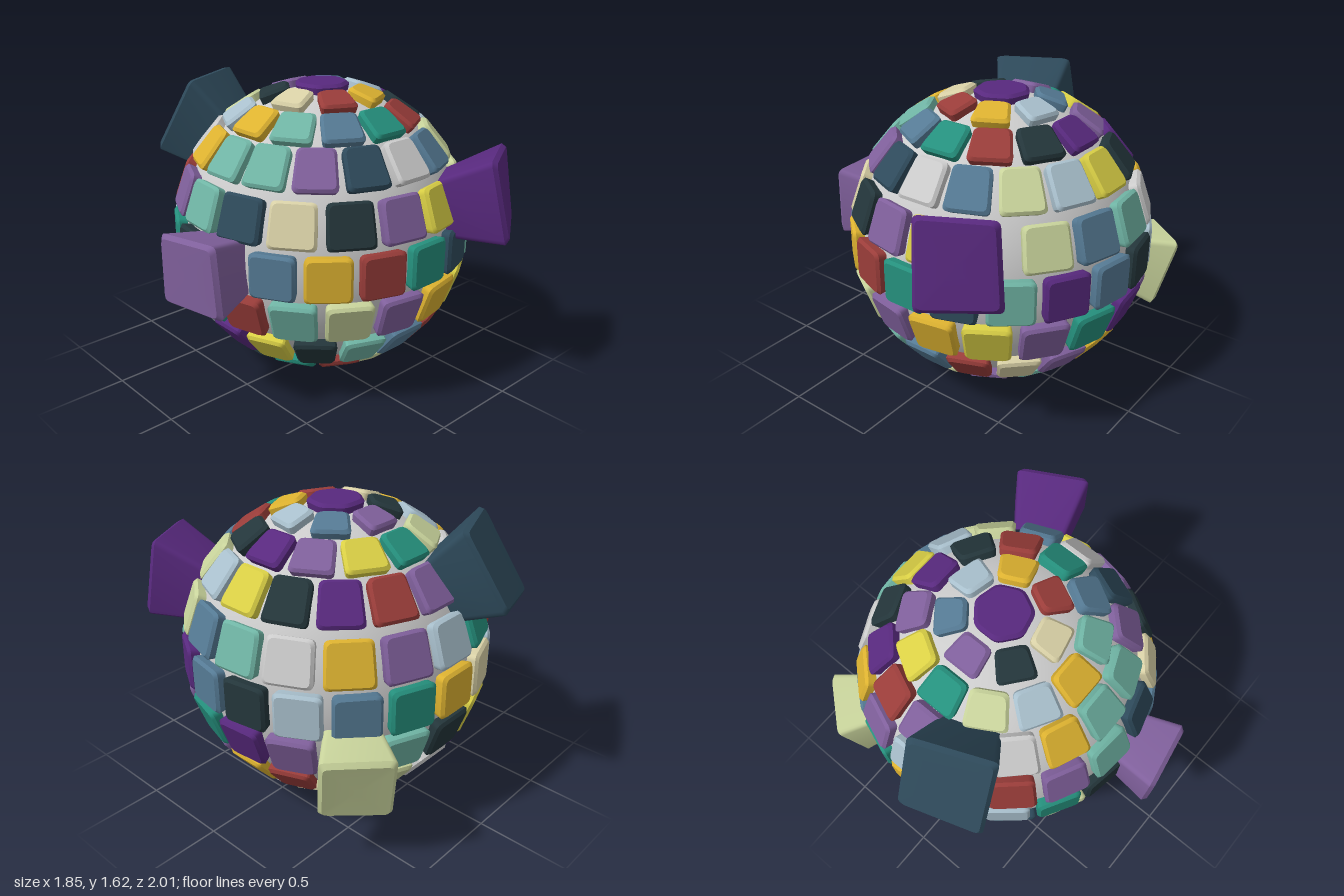
import * as THREE from 'three';
import { toCreasedNormals } from 'three/addons/utils/BufferGeometryUtils.js';

const CENTRE = new THREE.Vector3(0.1, 0.81, -0.045);
const CORE = 0.772, OUTER = 0.818, CAP = 0.81;
const TILE_DEPTH = 0.92, BLOCK_DEPTH = 0.7; // inner size relative to outer
const RAD = Math.PI / 180;

// One letter per tile colour
const COLORS = {
  P: 0x58297e, L: 0x80609c, D: 0x24363b, N: 0x2e4a5b, B: 0x557a94, S: 0xa9c0cd, H: 0x8d9ca6, G: 0x25907d,
  M: 0x70b5a5, K: 0xc9d49c, C: 0xd8d0a6, R: 0x9a3d3a, Y: 0xd9cf45, O: 0xddb230, W: 0xbcbcbc,
};
const materials = {};
const material = (key) => (materials[key] ??= new THREE.MeshStandardMaterial({ color: COLORS[key] }));

// Rows: latitude, tile count, width, height, taper, colours from the back around by way of -x
const ROWS = [
  ['topRow', 71.5, 7, 0.185, 0.172, 0.12, 'LDCROSB'],
  ['upperHighRow', 56, 12, 0.21, 0.2, 0.1, 'GKSOMBGRDPLY'],
  ['upperMiddleRow', 39, 16, 0.218, 0.238, 0.09, 'LNWOMMLNWBKSYDPR'],
  ['upperRow', 19.2, 17, 0.247, 0.242, 0.045, 'SGRLMNCDLYPKBMWOL'],
  ['equatorRow', 0, 18, 0.247, 0.245, 0, 'OCSGDLBORGNMPBDSBG'],
  ['lowerRow', -19.2, 17, 0.247, 0.242, 0.045, 'DYNKGRMKLOYLGPLKM'],
  ['lowerMiddleRow', -39, 16, 0.218, 0.238, 0.09, 'WPCHPYDMBRCLORMK'],
  ['lowerHighRow', -56, 12, 0.21, 0.2, 0.1, 'WCLDGRKLMWCO'],
  ['bottomRow', -71.5, 7, 0.185, 0.172, 0.12, 'PRDLYBG'],
];

// Tiles pulled out into large blocks: outer corners, lower left first, anticlockwise from outside
const BLOCKS = {
  upperRow10: [[0.395, 0.9, 1.03], [0.745, 0.91, 0.795], [0.685, 1.345, 0.755], [0.335, 1.345, 0.945]],
  equatorRow5: [[-0.935, 0.615, -0.11], [-0.855, 0.615, 0.285], [-0.87, 1.02, 0.265], [-0.935, 1.0, -0.11]],
  upperMiddleRow1: [[-0.03, 1.225, -1.025], [-0.45, 1.165, -0.875], [-0.365, 1.605, -0.62], [0.045, 1.615, -0.795]],
  lowerRow15: [[0.82, 0.305, -0.585], [0.555, 0.295, -0.845], [0.62, 0.69, -0.925], [0.905, 0.705, -0.68]],
};

// Closed outline with each corner rounded by a curve
function roundedRing(corners, radius) {
  const n = corners.length;
  return corners.flatMap((c, i) => {
    const toward = (p) => c.clone().add(p.clone().sub(c).setLength(radius));
    const a = toward(corners[(i + n - 1) % n]), b = toward(corners[(i + 1) % n]);
    return new THREE.QuadraticBezierCurve3(a, c, b).getPoints(3);
  });
}

// Solid narrowing toward the ball's centre, with rounded corners and a bevelled face
function tileGeometry(outer, depth, bevel) {
  const inner = outer.map((p) => p.clone().multiplyScalar(depth));
  const mid = outer.reduce((s, p) => s.add(p), new THREE.Vector3()).divideScalar(outer.length);
  const moved = (p, target, d) => p.clone().add(target.clone().sub(p).setLength(d));
  const shoulder = outer.map((p, i) => moved(p, inner[i], bevel));
  const face = outer.map((p) => moved(p, mid, bevel * 1.4));
  const rings = [inner, shoulder, face].map((r) => roundedRing(r, 0.03));
  const n = rings[0].length;
  const points = [...rings.flat(), mid];
  const index = [];
  for (let j = 0; j < n; j++) {
    const k = (j + 1) % n;
    for (let r = 0; r < 2; r++) {
      const a = r * n + j, b = r * n + k;
      index.push(a, b, b + n, a, b + n, a + n);
    }
    index.push(2 * n + j, 2 * n + k, 3 * n);
  }
  const geo = new THREE.BufferGeometry().setFromPoints(points);
  geo.setIndex(index);
  return toCreasedNormals(geo, 0.6);
}

// Corners of a flat tile facing straight out from the ball
function tileCorners(lat, lon, w, h, taper) {
  const out = new THREE.Vector3(Math.sin(lon) * Math.cos(lat), Math.sin(lat), Math.cos(lon) * Math.cos(lat));
  const east = new THREE.Vector3(Math.cos(lon), 0, -Math.sin(lon));
  const north = out.clone().cross(east);
  const t = taper * Math.sign(lat);
  return [[-1, -1], [1, -1], [1, 1], [-1, 1]].map(([sx, sy]) => out.clone().multiplyScalar(OUTER)
    .addScaledVector(east, sx * w / 2 * (1 - sy * t)).addScaledVector(north, sy * h / 2));
}

export function createModel() {
  const model = new THREE.Group();
  model.name = 'tiledBall';
  const ball = new THREE.Group();
  ball.name = 'ball';
  ball.position.copy(CENTRE);
  model.add(ball);

  const add = (parent, name, geo, mat) => {
    const mesh = new THREE.Mesh(geo, mat);
    mesh.name = name;
    parent.add(mesh);
  };

  // Grey core seen between the tiles
  add(ball, 'core', new THREE.SphereGeometry(CORE, 64, 40), new THREE.MeshStandardMaterial({ color: 0xcccccc }));

  // Rows of tiles, each starting at the back
  for (const [rowName, lat, count, w, h, taper, colours] of ROWS) {
    const row = new THREE.Group();
    row.name = rowName;
    ball.add(row);
    for (let i = 0; i < count; i++) {
      const block = BLOCKS[rowName + i];
      if (block) {
        const corners = block.map((p) => new THREE.Vector3(...p).sub(CENTRE));
        add(row, 'raisedBlock', tileGeometry(corners, BLOCK_DEPTH, 0.024), material(colours[i]));
      } else {
        const corners = tileCorners(lat * RAD, Math.PI + i * 2 * Math.PI / count, w, h, taper);
        add(row, 'tile', tileGeometry(corners, TILE_DEPTH, 0.016), material(colours[i]));
      }
    }
  }

  // Seven-sided caps at both poles
  for (const s of [1, -1]) {
    const corners = Array.from({ length: 7 }, (_, i) => {
      const a = s * i * 2 * Math.PI / 7;
      return new THREE.Vector3(Math.sin(a) * 0.158, s * CAP, Math.cos(a) * 0.158);
    });
    add(ball, s > 0 ? 'topCap' : 'bottomCap', tileGeometry(corners, TILE_DEPTH, 0.016), material(s > 0 ? 'P' : 'B'));
  }
  return model;
}
